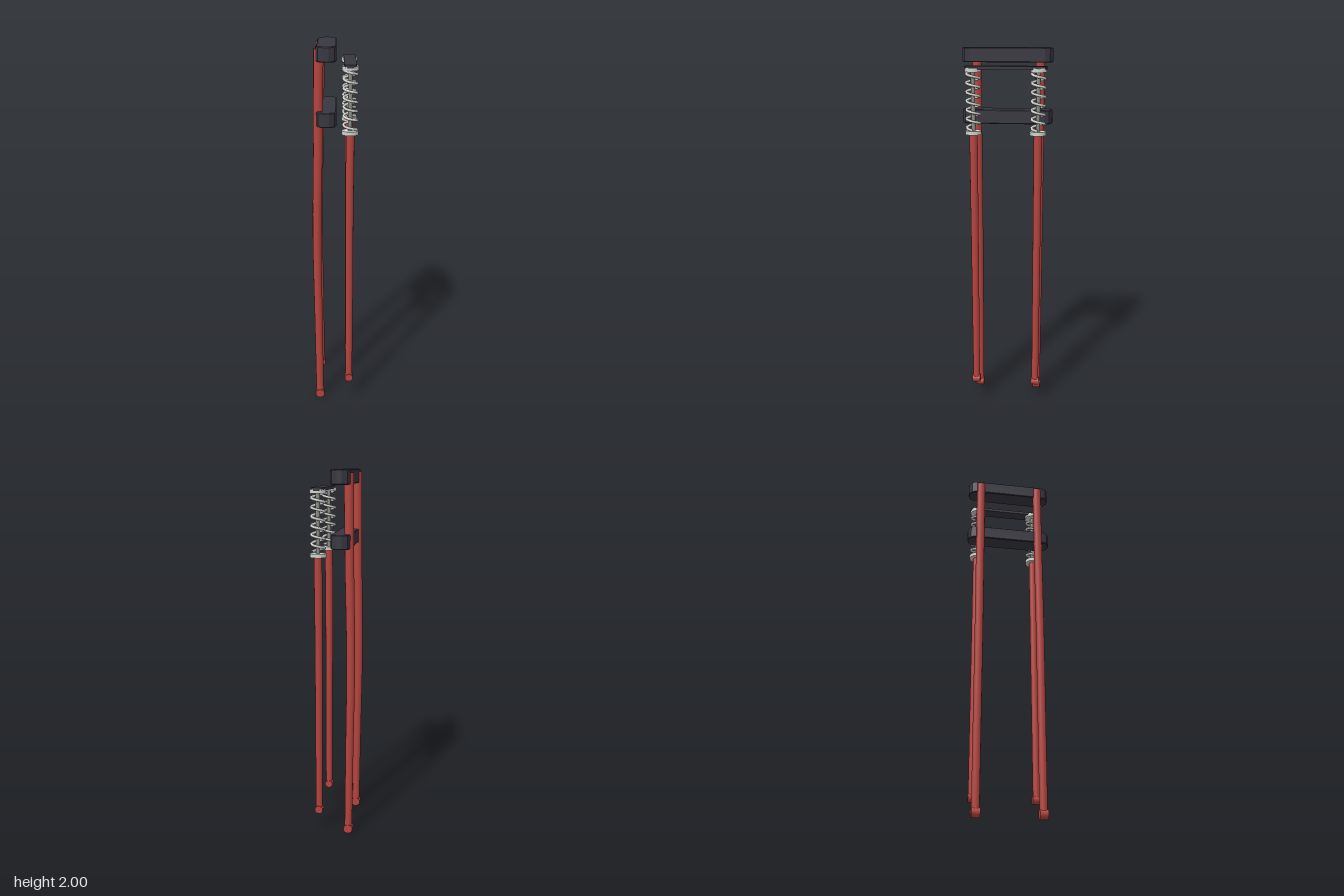
import * as THREE from 'three';

const mat = (name, color, extra = {}) => {
  const m = new THREE.MeshStandardMaterial({ color });
  m.name = name;
  return Object.assign(m, extra);
};

export function createModel() {
  const red = mat('red paint', 0xb5443f);
  const dark = mat('dark clamp', 0x38363f);
  const pale = mat('pale steel', 0xd4d4d0);
  const grey = mat('grey rod', 0x8c8c8a);
  const group = new THREE.Group();

  const add = (name, geometry, material, x = 0, y = 0, z = 0) => {
    const mesh = new THREE.Mesh(geometry, material);
    mesh.name = name;
    mesh.position.set(x, y, z);
    group.add(mesh);
    return mesh;
  };

  // Gently bowed, tapering leg with closed ends; points are [x, y], bottom to top
  const leg = (points, rBottom, rTop) => {
    const curve = new THREE.CatmullRomCurve3(points.map(([x, y]) => new THREE.Vector3(x, y, 0)));
    const y0 = points[0][1], y1 = points[points.length - 1][1];
    const geo = new THREE.CylinderGeometry(rTop, rBottom, 1, 12, 16);
    const pos = geo.attributes.position;
    for (let i = 0; i < pos.count; i++) {
      const t = pos.getY(i) + 0.5;
      const p = curve.getPoint(t);
      pos.setXY(i, pos.getX(i) + p.x, y0 + t * (y1 - y0));
    }
    geo.computeBoundingSphere();
    return geo;
  };

  // Bar with rounded ends, lying along z, standing on y = 0
  const bar = (w, halfLength, height, bevel) => {
    const h = w / 2 - bevel, l = halfLength - bevel;
    const quarter = [[1, 0.165], [0.8, 0.06], [0.26, 0]];
    const k = w / 0.1;
    const corner = quarter.map(([a, b]) => [h * a, l - b * 0.23 * k]);
    const half = [...corner, ...corner.map(([a, b]) => [-a, b]).reverse()];
    const outline = [...half, ...half.map(([a, b]) => [-a, -b])];
    const shape = new THREE.Shape(outline.map(([a, b]) => new THREE.Vector2(a, b)));
    const geo = new THREE.ExtrudeGeometry(shape, {
      depth: height - 2 * bevel, bevelEnabled: bevel > 0,
      bevelSize: bevel, bevelThickness: bevel, bevelSegments: 1,
    });
    return geo.translate(0, 0, bevel).rotateX(-Math.PI / 2);
  };

  // Coil spring wound about y
  class Helix extends THREE.Curve {
    constructor(radius, height, turns) {
      super();
      Object.assign(this, { radius, height, turns });
    }
    getPoint(t, target = new THREE.Vector3()) {
      const a = t * this.turns * Math.PI * 2;
      return target.set(Math.cos(a) * this.radius, t * this.height, Math.sin(a) * this.radius);
    }
  }

  const rearLeg = leg([[-0.087, 0.03], [-0.092, 0.55], [-0.097, 1], [-0.088, 1.5], [-0.082, 1.985]], 0.021, 0.025);
  const frontLeg = leg([[0.079, 0.13], [0.078, 0.6], [0.076, 1], [0.077, 1.565]], 0.019, 0.022);
  const rearEye = new THREE.CylinderGeometry(0.026, 0.026, 0.044, 12).rotateX(Math.PI / 2);
  const frontEye = new THREE.CylinderGeometry(0.023, 0.023, 0.044, 12).rotateX(Math.PI / 2);
  const coil = new THREE.TubeGeometry(new Helix(0.034, 0.3, 6.5), 104, 0.0075, 6);
  const seat = new THREE.CylinderGeometry(0.043, 0.043, 0.02, 12);
  const rod = new THREE.CylinderGeometry(0.011, 0.011, 0.34, 10);

  // Legs, eyelets and springs, mirrored front to back
  for (const [side, z] of [['front', 0.17], ['back', -0.17]]) {
    add(`${side} long leg`, rearLeg, red, 0, 0, z);
    add(`${side} long leg eyelet`, rearEye, red, -0.087, 0.026, z);
    add(`${side} short leg`, frontLeg, red, 0, 0, z);
    add(`${side} short leg eyelet`, frontEye, red, 0.079, 0.132, z);
    add(`${side} spring`, coil, pale, 0.076, 1.585, z);
    add(`${side} lower spring seat`, seat, pale, 0.076, 1.57, z);
    add(`${side} upper spring seat`, seat, pale, 0.076, 1.892, z);
    add(`${side} spring rod`, rod, grey, 0.076, 1.73, z);
  }

  // Clamps joining the long legs
  const clamp = bar(0.101, 0.239, 0.074, 0.004);
  add('upper clamp', clamp, dark, -0.0435, 1.926, 0);
  add('lower clamp', clamp, dark, -0.0435, 1.606, 0);

  // Thin plate joining the spring tops
  add('spring bridge', bar(0.063, 0.213, 0.017, 0), dark, 0.076, 1.895, 0);

  return group;
}
